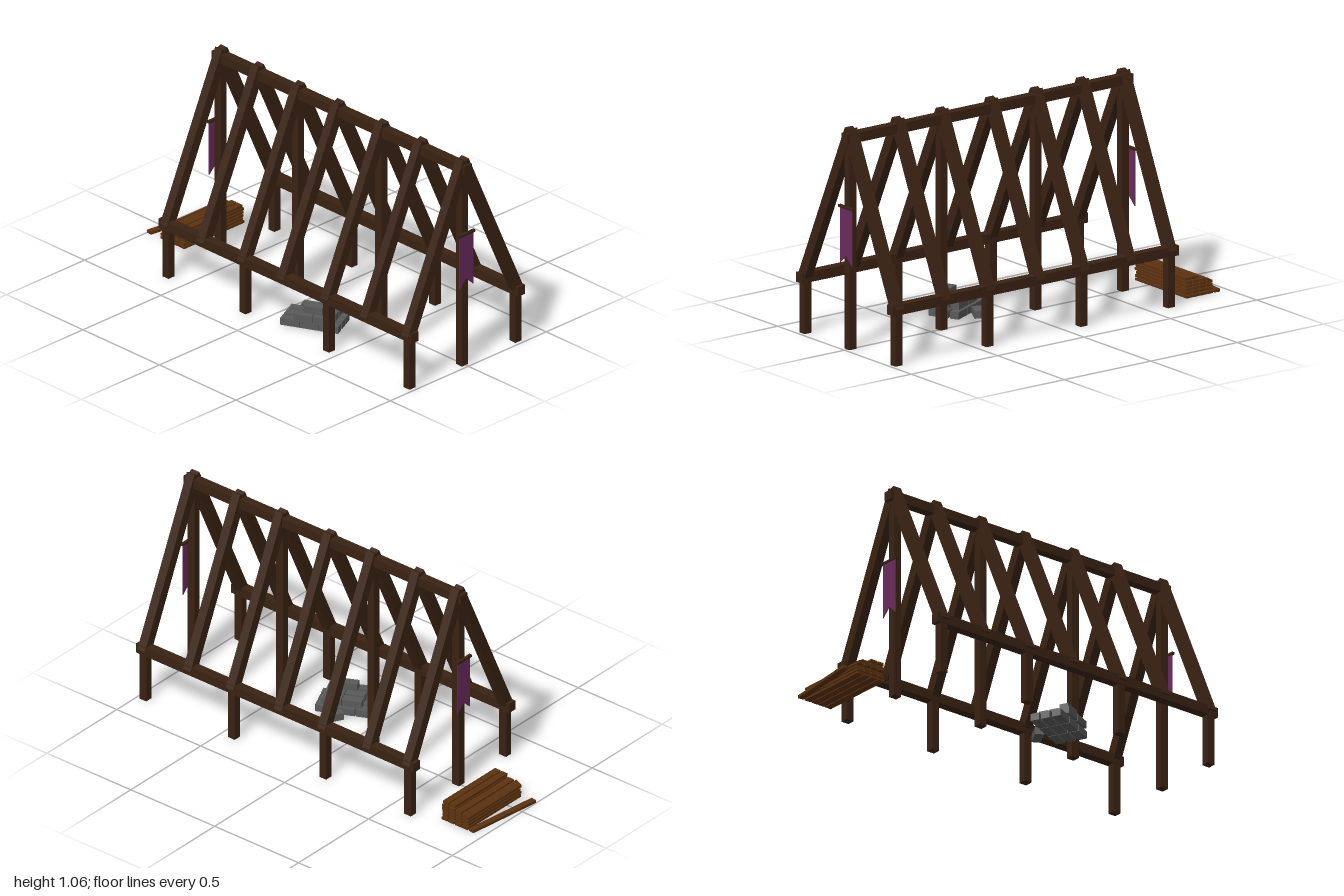
import * as THREE from 'three';

const mat = (color) => new THREE.MeshStandardMaterial({ color, flatShading: true, roughness: 0.9 });

export function createModel() {
  const model = new THREE.Group();
  const wood = mat(0x3a2213), plankWood = mat(0x5c3210), stone = mat(0x5a5a5a), cloth = mat(0x6a2a5c);

  const addBox = (name, material, size, pos, parent = model) => {
    const mesh = new THREE.Mesh(new THREE.BoxGeometry(...size), material);
    mesh.name = name;
    mesh.position.set(...pos);
    parent.add(mesh);
    return mesh;
  };

  // Upright posts: a tall centre row and a short row under each eave
  for (const z of [0.962, 0.435, -0.11, -0.615]) {
    addBox('centrePost', wood, [0.038, 1.0, 0.04], [-0.004, 0.5, z]);
    for (const s of [-1, 1]) addBox('sidePost', wood, [0.038, 0.26, 0.04], [s * 0.34, 0.13, z]);
  }

  // Ridge and eave beams running the length of the frame
  addBox('ridgeBeam', wood, [0.046, 0.046, 1.655], [0, 1.008, 0.1725]);
  for (const s of [-1, 1]) addBox('eaveBeam', wood, [0.046, 0.047, 1.655], [s * 0.341, 0.267, 0.1725]);

  // Rafter pairs, crossing at the ridge
  const low = new THREE.Vector2(0.349, 0.26), high = new THREE.Vector2(-0.005, 1.045);
  const span = high.clone().sub(low);
  const tilt = Math.atan2(-span.x, span.y);
  for (const z of [0.962, 0.69, 0.435, 0.148, -0.11, -0.377, -0.615]) {
    for (const s of [-1, 1]) {
      const rafter = addBox('rafter', wood, [0.05, span.length(), 0.045],
        [s * (low.x + high.x) / 2, (low.y + high.y) / 2, z]);
      rafter.rotation.z = s * tilt;
    }
  }

  // Swallow-tailed banners on the two end posts
  const outline = new THREE.Shape([
    [-0.045, 0.675], [-0.045, 0.405], [0, 0.447], [0.045, 0.405], [0.045, 0.675],
  ].map(([x, y]) => new THREE.Vector2(x, y)));
  const clothGeometry = new THREE.ExtrudeGeometry(outline, { depth: 0.004, bevelEnabled: false });
  clothGeometry.translate(0, 0, -0.002);
  for (const z of [0.988, -0.648]) {
    const banner = new THREE.Group();
    banner.name = 'banner';
    banner.position.set(-0.002, 0, z);
    const sheet = new THREE.Mesh(clothGeometry, cloth);
    sheet.name = 'bannerCloth';
    banner.add(sheet);
    addBox('bannerRod', wood, [0.104, 0.012, 0.014], [0, 0.677, 0], banner);
    model.add(banner);
  }

  // Stepped stack of planks behind the frame
  const planks = new THREE.Group();
  planks.name = 'plankStack';
  [6, 6, 5, 4].forEach((count, row) => {
    for (let i = 0; i < count; i++) {
      addBox('plank', plankWood, [0.385 - 0.006 * (i % 3), 0.012, 0.034],
        [0.095 - 0.004 * (i % 2), 0.007 + i * 0.0165, -0.775 - row * 0.04], planks);
    }
  });
  // One plank slipping off the low row and one lying on the ground
  addBox('slippingPlank', plankWood, [0.385, 0.011, 0.034], [0.092, 0.066, -0.893], planks).rotation.x = -0.5;
  addBox('loosePlank', plankWood, [0.393, 0.014, 0.03], [0.093, 0.008, -0.96], planks).rotation.y = -0.125;
  model.add(planks);

  // Three-tier pile of stone blocks, turned at an angle
  const stones = new THREE.Group();
  stones.name = 'stonePile';
  const tiers = [
    { x: -0.195, z: 0.195, rows: 3, length: 3 },
    { x: -0.197, z: 0.217, rows: 3, length: 2 },
    { x: -0.228, z: 0.225, rows: 1, length: 1 },
  ];
  tiers.forEach(({ x, z, rows, length }, level) => {
    const tier = new THREE.Group();
    tier.name = 'stoneTier';
    tier.position.set(x, 0.022 + level * 0.0375, z);
    tier.rotation.y = 0.445;
    for (let r = 0; r < rows; r++) {
      for (let i = 0; i < length; i++) {
        addBox('stoneBlock', stone, [0.043, 0.035, 0.092],
          [(r - (rows - 1) / 2) * 0.055, 0, (i - (length - 1) / 2) * 0.095], tier);
      }
    }
    stones.add(tier);
  });
  addBox('looseBlock', stone, [0.092, 0.035, 0.043], [-0.063, 0.022, 0.18], stones).rotation.y = -0.5;
  model.add(stones);

  return model;
}
